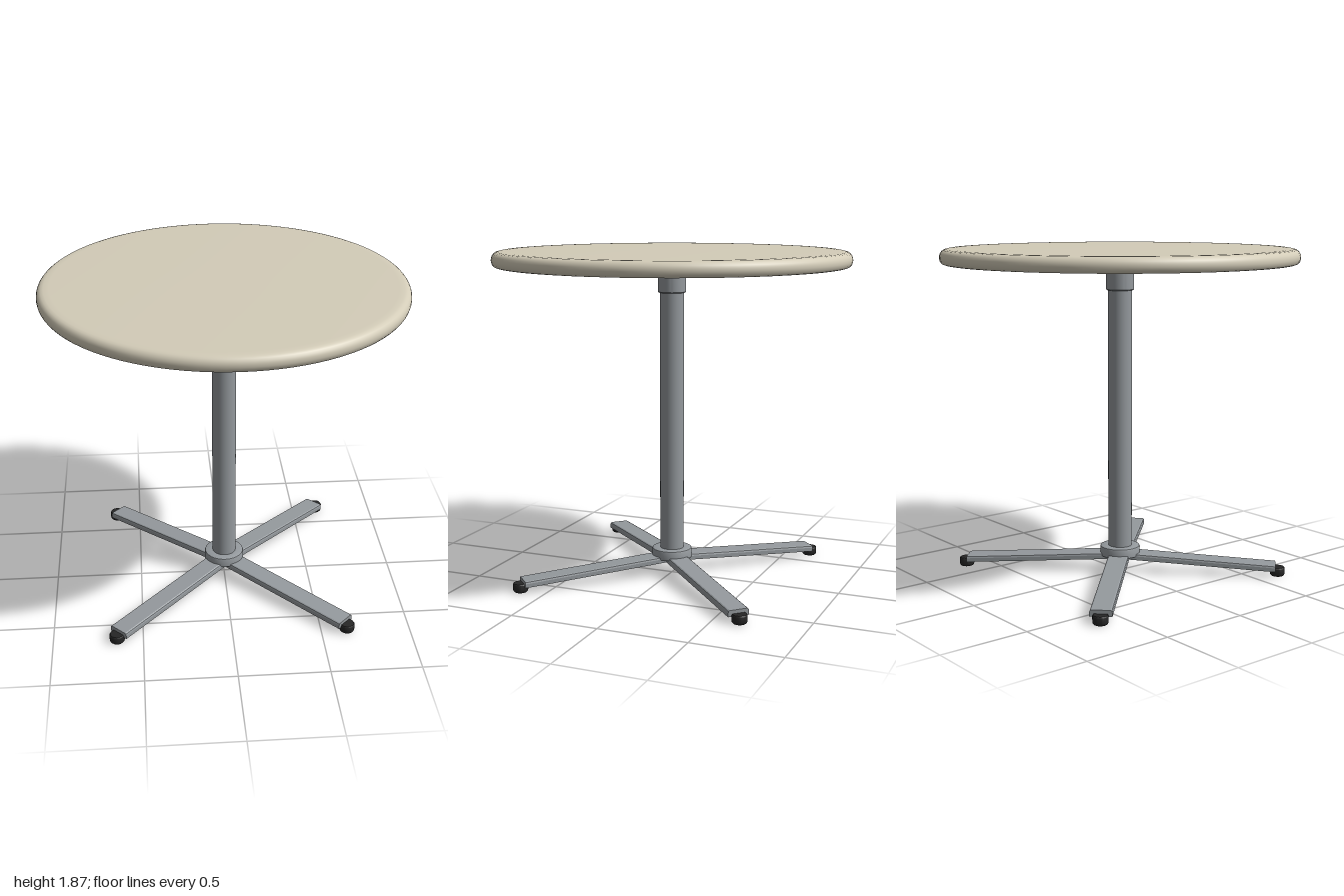
import * as THREE from 'three';
import { toCreasedNormals } from 'three/addons/utils/BufferGeometryUtils.js';

const cream = new THREE.MeshStandardMaterial({ color: 0xd3ccb8 });
const metal = new THREE.MeshStandardMaterial({ color: 0x959a9e });
const rubber = new THREE.MeshStandardMaterial({ color: 0x262626 });

function addMesh(parent, name, geometry, material) {
  const mesh = new THREE.Mesh(geometry, material);
  mesh.name = name;
  parent.add(mesh);
  return mesh;
}

// Turned part from [radius, height] pairs, listed from the underside up
function turned(profile, segments = 48) {
  const points = profile.map(([r, y]) => new THREE.Vector2(r, y));
  return toCreasedNormals(new THREE.LatheGeometry(points, segments), 0.6);
}

// Bar with chamfered upper edges, running along +z and sloping down to its tip
function legGeometry(length, drop) {
  const section = new THREE.Shape([
    [-0.06, 0], [0.06, 0], [0.06, 0.022], [0.057, 0.031], [0.05, 0.035],
    [-0.05, 0.035], [-0.057, 0.031], [-0.06, 0.022],
  ].map(([x, y]) => new THREE.Vector2(x, y)));
  const geometry = new THREE.ExtrudeGeometry(section, { depth: length, bevelEnabled: false });
  const p = geometry.attributes.position;
  for (let i = 0; i < p.count; i++) p.setY(i, p.getY(i) - drop * p.getZ(i) / length);
  return toCreasedNormals(geometry, 0.3);
}

export function createModel() {
  const table = new THREE.Group();
  table.name = 'pedestalTable';

  // Round top with a rolled rim and a recessed underside
  addMesh(table, 'tabletop', turned([
    [0, 1.83], [0.962, 1.83], [0.962, 1.79], [0.966, 1.785], [0.978, 1.785],
    [0.988, 1.789], [0.996, 1.8], [1, 1.816], [0.999, 1.832], [0.994, 1.845],
    [0.986, 1.855], [0.976, 1.862], [0.96, 1.866], [0.93, 1.867], [0, 1.867],
  ], 96), cream);

  // Stiffening ribs radiating under the top
  for (let i = 0; i < 8; i++) {
    const rib = new THREE.Group();
    rib.name = 'rib' + (i + 1);
    rib.rotation.y = i * Math.PI / 4;
    addMesh(rib, 'ribBar', new THREE.BoxGeometry(0.022, 0.045, 0.72), cream)
      .position.set(0, 1.8125, 0.51);
    table.add(rib);
  }

  // Mounting disc under the top
  addMesh(table, 'mountingDisc', turned([
    [0, 1.765], [0.172, 1.765], [0.178, 1.768], [0.18, 1.774], [0.18, 1.832],
  ]), cream);

  // Column, upper sleeve and base collar
  addMesh(table, 'column', new THREE.CylinderGeometry(0.068, 0.068, 1.56, 48), metal)
    .position.y = 0.88;
  addMesh(table, 'sleeve', turned([
    [0.066, 1.633], [0.074, 1.633], [0.078, 1.638], [0.078, 1.767],
  ]), metal);
  addMesh(table, 'baseCollar', turned([
    [0, 0.1], [0.115, 0.1], [0.115, 0.145], [0.112, 0.152], [0.105, 0.155], [0.066, 0.155],
  ]), metal);

  // Four sloping legs on the diagonals, each with a rubber foot
  const legShape = legGeometry(0.9, 0.05);
  const footShape = turned([
    [0, 0], [0.034, 0], [0.04, 0.006], [0.042, 0.014], [0.042, 0.044],
    [0.038, 0.05], [0, 0.05],
  ], 32);
  for (let i = 0; i < 4; i++) {
    const leg = new THREE.Group();
    leg.name = 'leg' + (i + 1);
    leg.rotation.y = Math.PI / 4 + i * Math.PI / 2;
    addMesh(leg, 'legBar', legShape, metal).position.y = 0.085;
    addMesh(leg, 'foot', footShape, rubber).position.z = 0.912;
    table.add(leg);
  }
  return table;
}
